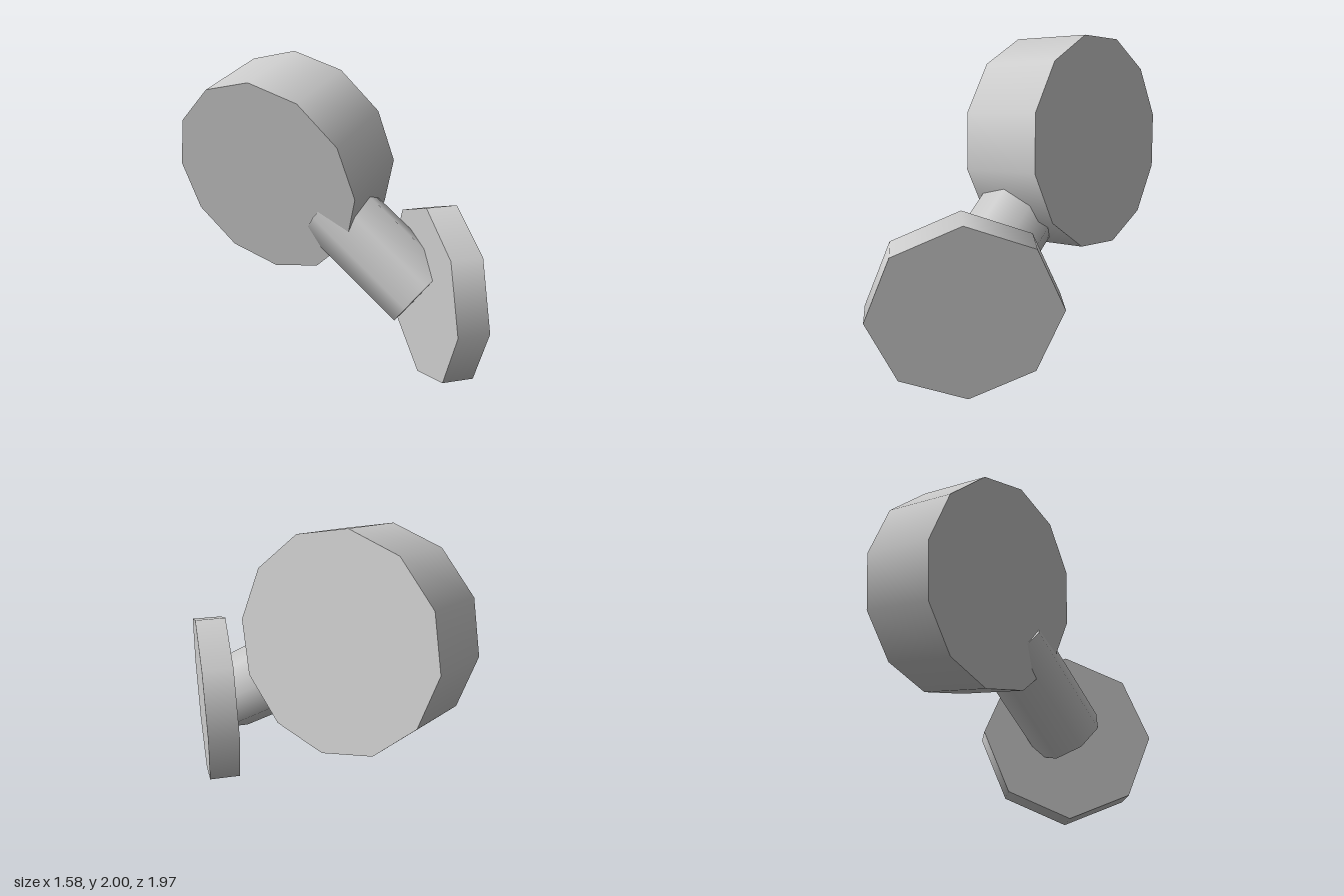
import * as THREE from 'three';

const grey = new THREE.MeshStandardMaterial({ color: 0xcccccc });
grey.name = 'light grey';

// Capped cylinder between two points, with one corner pointing along `corner`
function prism(name, from, to, radius, sides, corner) {
  const a = new THREE.Vector3(...from);
  const b = new THREE.Vector3(...to);
  const axis = b.clone().sub(a);
  const length = axis.length();
  axis.normalize();
  const z = new THREE.Vector3(...corner);
  z.addScaledVector(axis, -z.dot(axis)).normalize();
  const x = axis.clone().cross(z);

  const geometry = new THREE.CylinderGeometry(radius, radius, length, sides);
  geometry.applyMatrix4(new THREE.Matrix4().makeBasis(x, axis, z));
  const mesh = new THREE.Mesh(geometry, grey);
  mesh.name = name;
  mesh.position.copy(a).add(b).multiplyScalar(0.5);
  return mesh;
}

export function createModel() {
  const model = new THREE.Group();
  model.name = 'wallSpotlight';

  // Octagonal mounting plate standing on its edge
  const hub = [0.595, 0.582, 0.405];
  model.add(prism('mountingPlate', hub, [0.795, 0.582, 0.405], 0.582, 8, [0, 1, 0]));

  // Diagonal arm running from the plate into the head
  const reach = 0.467;
  model.add(prism('arm', hub, [hub[0] - reach, hub[1] + reach, hub[2] - reach], 0.25, 8, [1, 2, 1]));

  // Twelve-sided head, turned and tipped slightly downward
  model.add(prism('lampHead', [0.055, 1.34, -0.505], [-0.315, 1.235, -0.14], 0.673, 12, [1, 0, 1]));

  return model;
}
